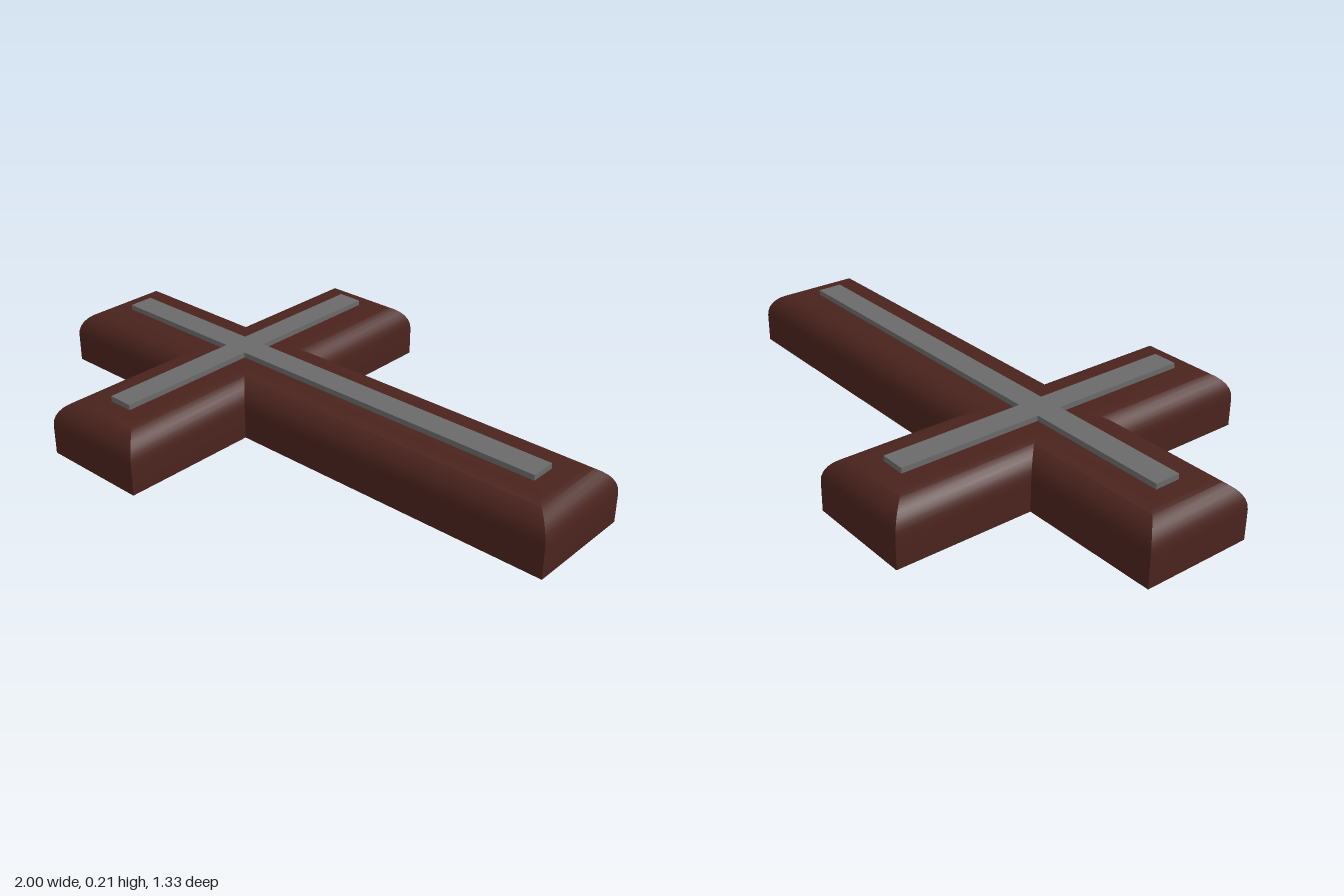
import * as THREE from 'three';
import { toCreasedNormals } from 'three/addons/utils/BufferGeometryUtils.js';

// Plan of a cross as [x, z] corners, counter-clockwise from above, shrunk by an inset
function crossOutline({ x0, x1, halfBeam, b0, b1, halfBar }, inset) {
  const l = x0 + inset, r = x1 - inset, w = halfBeam - inset;
  const bl = b0 + inset, br = b1 - inset, h = halfBar - inset;
  return [
    [l, w], [bl, w], [bl, h], [br, h], [br, w], [r, w],
    [r, -w], [br, -w], [br, -h], [bl, -h], [bl, -w], [l, -w],
  ];
}

// Stack outlines given as [inset, y] levels, closed at top and bottom
function crossSolid(size, levels) {
  const positions = [], index = [];
  for (const [inset, y] of levels) {
    for (const [x, z] of crossOutline(size, inset)) positions.push(x, y, z);
  }
  const n = 12, top = (levels.length - 1) * n;
  for (let k = 0; k < top; k += n) {
    for (let i = 0; i < n; i++) {
      const a = k + i, b = k + (i + 1) % n;
      index.push(a, b, b + n, a, b + n, a + n);
    }
  }
  const plan = crossOutline(size, 0).map(([x, z]) => new THREE.Vector2(x, -z));
  for (const [a, b, c] of THREE.ShapeUtils.triangulateShape(plan, [])) {
    index.push(top + a, top + b, top + c, a, c, b);
  }
  const geometry = new THREE.BufferGeometry();
  geometry.setAttribute('position', new THREE.Float32BufferAttribute(positions, 3));
  geometry.setIndex(index);
  return toCreasedNormals(geometry, 0.5);
}

export function createModel() {
  const group = new THREE.Group();
  group.name = 'cross';

  // Wooden body with a rounded upper edge
  const height = 0.19, radius = 0.09, steps = 8;
  const levels = [[0, 0]];
  for (let i = 0; i <= steps; i++) {
    const t = (i / steps) * Math.PI / 2;
    levels.push([radius * (1 - Math.cos(t)), height - radius + radius * Math.sin(t)]);
  }
  const body = new THREE.Mesh(
    crossSolid({ x0: -1, x1: 1, halfBeam: 0.19, b0: -0.52, b1: -0.143, halfBar: 0.665 }, levels),
    new THREE.MeshStandardMaterial({ color: 0x4a231d }),
  );
  body.name = 'body';

  // Thin metal inlay standing just proud of the top
  const inlay = new THREE.Mesh(
    crossSolid({ x0: -0.868, x1: 0.86, halfBeam: 0.044, b0: -0.375, b1: -0.288, halfBar: 0.541 },
      [[0, 0.18], [0, 0.208]]),
    new THREE.MeshStandardMaterial({ color: 0x6a6a6a }),
  );
  inlay.name = 'inlay';

  group.add(body, inlay);
  return group;
}
